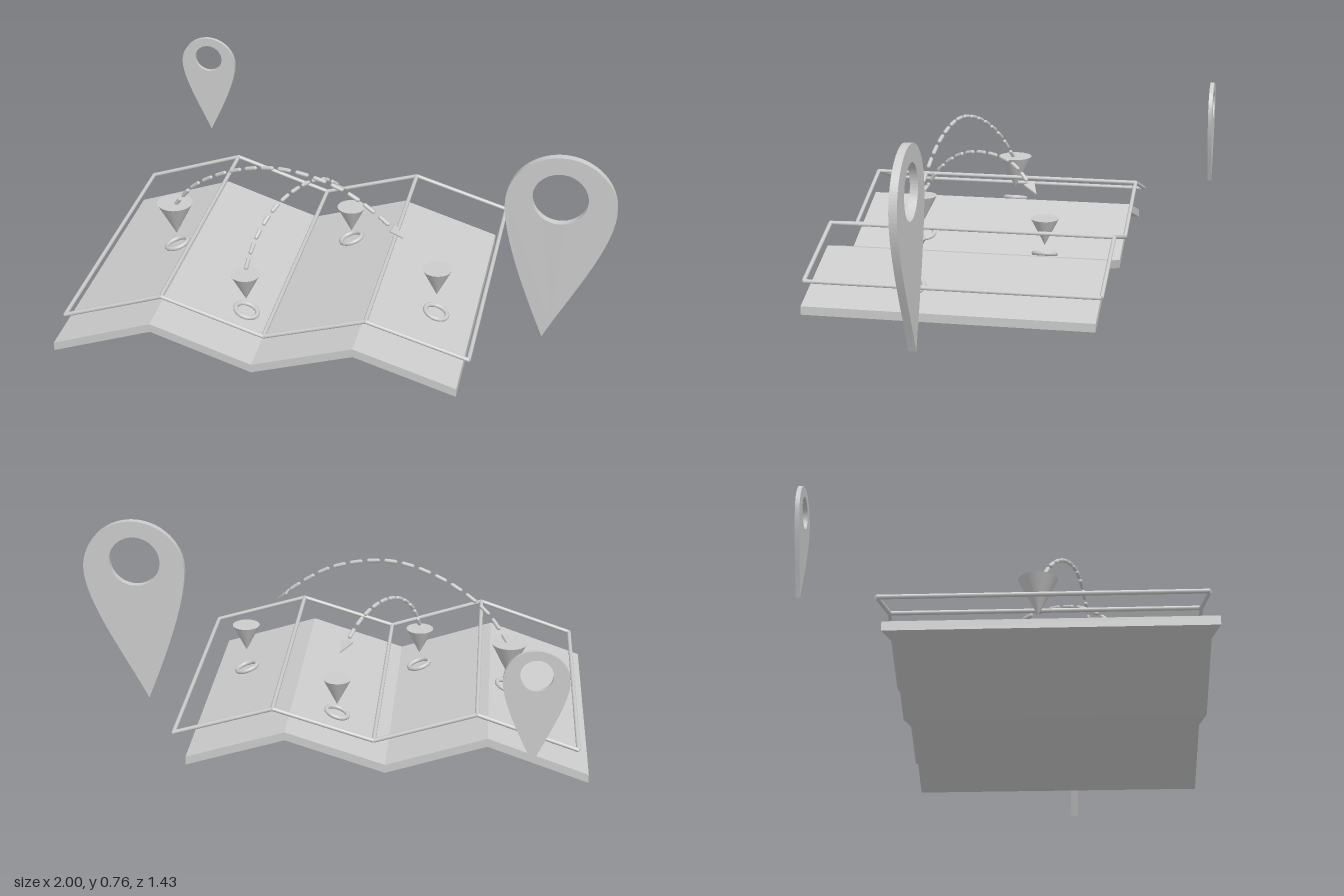
import * as THREE from 'three';

const material = new THREE.MeshStandardMaterial({ color: 0xcccccc, side: THREE.DoubleSide });
const UP = new THREE.Vector3(0, 1, 0);
const vec = (p) => new THREE.Vector3(...p);

function add(parent, name, geometry) {
  const mesh = new THREE.Mesh(geometry, material);
  mesh.name = name;
  parent.add(mesh);
  return mesh;
}

function addGroup(parent, name) {
  const group = new THREE.Group();
  group.name = name;
  parent.add(group);
  return group;
}

// Round bar between two points
function bar(parent, name, a, b, radius) {
  const mesh = add(parent, name, new THREE.CylinderGeometry(radius, radius, a.distanceTo(b), 10));
  mesh.position.lerpVectors(a, b, 0.5);
  mesh.quaternion.setFromUnitVectors(UP, b.clone().sub(a).normalize());
}

// Folded sheet: zigzag profile extruded along z
function foldedMap(parent) {
  const top = [[-1, 0.05], [-0.625, 0.18], [-0.25, 0.053], [0.125, 0.17], [0.5, 0.05]];
  const bottom = top.map(([x, y]) => [x, y - 0.033]).reverse();
  const shape = new THREE.Shape([...top, ...bottom].map(([x, y]) => new THREE.Vector2(x, y)));
  const geometry = new THREE.ExtrudeGeometry(shape, { depth: 1.1, bevelEnabled: false });
  geometry.translate(0, 0, -0.39);
  add(parent, 'foldedMap', geometry);
}

// Wire outline hovering over the sheet
function wireFrame(parent) {
  const frame = addGroup(parent, 'floatingFrame');
  const zFront = 0.683, zBack = -0.414, radius = 0.008;
  const profile = [[-0.955, 0.162], [-0.583, 0.287], [-0.208, 0.164], [0.166, 0.276], [0.537, 0.162]];
  profile.forEach(([x, y], i) => {
    bar(frame, 'crossBar', vec([x, y, zBack]), vec([x, y, zFront]), radius);
    if (i === 0) return;
    const [px, py] = profile[i - 1];
    for (const z of [zFront, zBack]) bar(frame, 'sideBar', vec([px, py, z]), vec([x, y, z]), radius);
  });
}

// Downward cone with a ring lying on the slope below it
function marker(parent, { x, z, top, tip, radius, ringY, tilt }) {
  const group = addGroup(parent, 'marker');
  const cone = add(group, 'markerCone', new THREE.ConeGeometry(radius, top - tip, 32));
  cone.rotation.x = Math.PI;
  cone.position.set(x, (top + tip) / 2, z);
  const ringGeometry = new THREE.TorusGeometry(0.043, 0.009, 10, 32);
  ringGeometry.rotateX(Math.PI / 2);
  const ring = add(group, 'markerRing', ringGeometry);
  ring.rotation.z = tilt;
  ring.position.set(x, ringY, z);
}

// Dashed arc ending in a flat arrowhead
function dashedRoute(parent, points, count) {
  const route = addGroup(parent, 'dashedRoute');
  const curve = new THREE.CatmullRomCurve3(points.map(vec));
  const arrowLength = 0.055;
  const usable = 1 - arrowLength / curve.getLength();
  for (let i = 0; i < count; i++) {
    const a = curve.getPointAt(usable * (i + 0.1) / count);
    const b = curve.getPointAt(usable * (i + 0.75) / count);
    const radius = 0.008;
    const dash = add(route, 'dash', new THREE.CapsuleGeometry(radius, a.distanceTo(b) - radius, 3, 8));
    dash.position.lerpVectors(a, b, 0.5);
    dash.quaternion.setFromUnitVectors(UP, b.sub(a).normalize());
  }
  const triangle = new THREE.Shape([
    new THREE.Vector2(-0.029, 0), new THREE.Vector2(0.029, 0), new THREE.Vector2(0, arrowLength),
  ]);
  const geometry = new THREE.ExtrudeGeometry(triangle, { depth: 0.006, bevelEnabled: false });
  geometry.translate(0, 0, -0.003);
  const arrow = add(route, 'arrowhead', geometry);
  const base = curve.getPointAt(usable);
  const along = curve.getPointAt(1).sub(base).normalize();
  const across = new THREE.Vector3().crossVectors(along, UP).normalize();
  const normal = new THREE.Vector3().crossVectors(across, along);
  arrow.quaternion.setFromRotationMatrix(new THREE.Matrix4().makeBasis(across, along, normal));
  arrow.position.copy(base);
}

// Flat teardrop pin with a round hole
function locationPin(parent, name, { x, y, z, r, tip, hole, holeR, depth }) {
  const shape = new THREE.Shape();
  const [tx, ty] = tip;
  const drop = y - ty;
  shape.moveTo(x + r, y);
  shape.absarc(x, y, r, 0, Math.PI, false);
  shape.bezierCurveTo(x - r, y - drop * 0.26, tx - r * 0.33, ty + drop * 0.3, tx, ty);
  shape.bezierCurveTo(tx + r * 0.4, ty + drop * 0.3, x + r, y - drop * 0.26, x + r, y);
  const opening = new THREE.Path();
  opening.absarc(hole[0], hole[1], holeR, 0, Math.PI * 2, true);
  shape.holes.push(opening);
  const geometry = new THREE.ExtrudeGeometry(shape, { depth, bevelEnabled: false, curveSegments: 28 });
  geometry.translate(0, 0, z - depth / 2);
  add(parent, name, geometry);
}

export function createModel() {
  const model = new THREE.Group();
  model.name = 'mapWithPins';

  foldedMap(model);
  wireFrame(model);

  const slope = 0.325;
  [
    { x: -0.697, z: 0.113, top: 0.348, tip: 0.212, radius: 0.069, ringY: 0.165, tilt: slope },
    { x: -0.336, z: 0.432, top: 0.259, tip: 0.152, radius: 0.055, ringY: 0.1, tilt: -slope },
    { x: -0.046, z: -0.118, top: 0.273, tip: 0.165, radius: 0.055, ringY: 0.13, tilt: slope },
    { x: 0.365, z: 0.316, top: 0.296, tip: 0.186, radius: 0.055, ringY: 0.108, tilt: -slope },
  ].forEach((m) => marker(model, m));

  dashedRoute(model, [
    [-0.7, 0.335, 0.115], [-0.6, 0.46, 0.16], [-0.42, 0.57, 0.21], [-0.22, 0.617, 0.255],
    [0, 0.575, 0.288], [0.15, 0.485, 0.308], [0.235, 0.413, 0.318],
  ], 15);
  dashedRoute(model, [
    [-0.336, 0.275, 0.43], [-0.308, 0.38, 0.36], [-0.256, 0.46, 0.26], [-0.19, 0.488, 0.14],
    [-0.125, 0.463, 0.02], [-0.054, 0.365, -0.082],
  ], 11);

  locationPin(model, 'largePin', {
    x: 0.797, y: 0.558, z: 0.226, r: 0.203, tip: [0.756, 0.0], hole: [0.793, 0.593], holeR: 0.102, depth: 0.029,
  });
  locationPin(model, 'smallPin', {
    x: -0.78, y: 0.565, z: -0.708, r: 0.114, tip: [-0.78, 0.256], hole: [-0.78, 0.588], holeR: 0.057, depth: 0.016,
  });
  return model;
}
